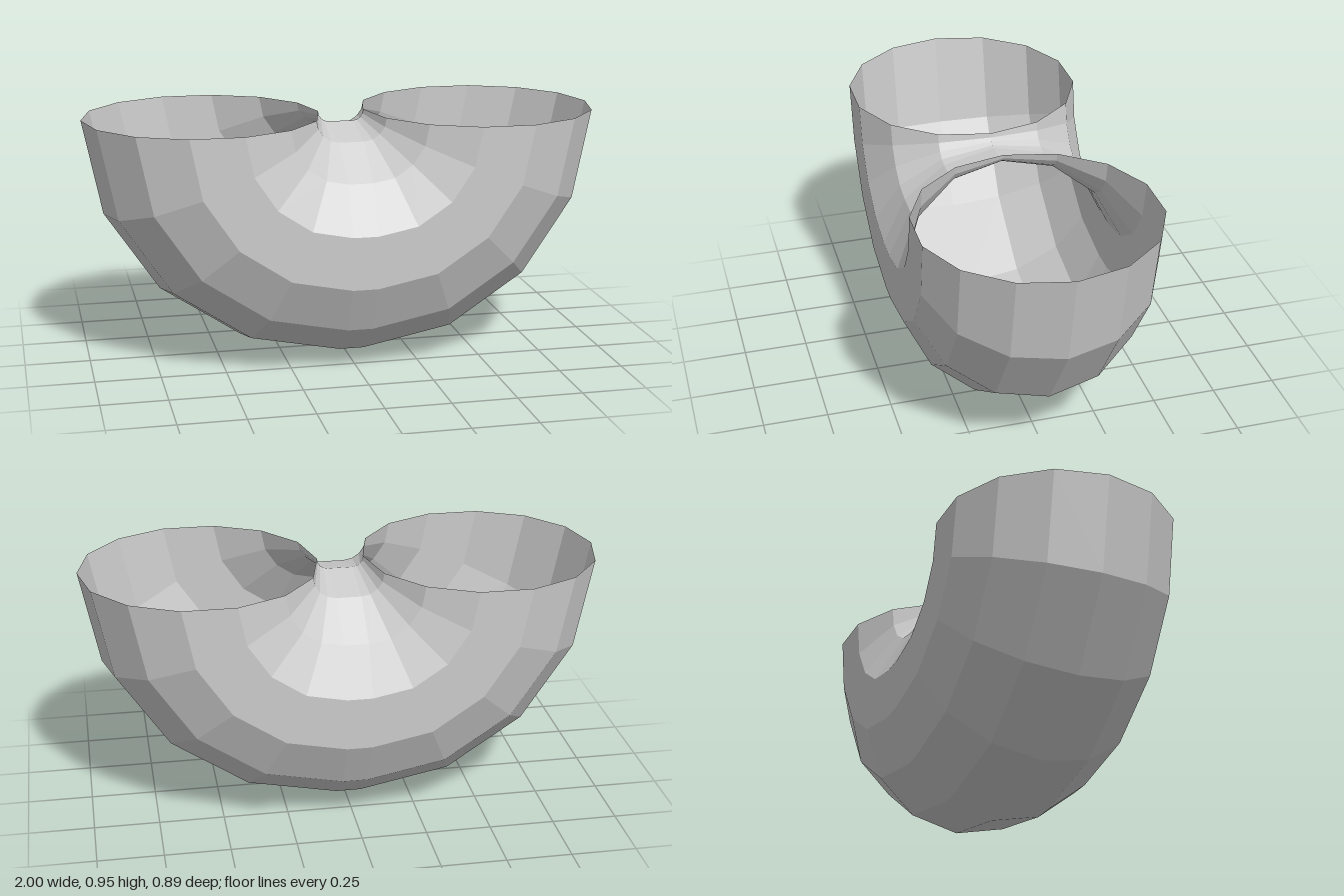
import * as THREE from 'three';

const SIDES = 14;        // facets round the tube
const STEPS = 4;         // segments in each quarter bend
const TUBE = 0.455;      // tube radius
const BEND = 0.497;      // radius of the bend's centre line
const SHIFT = 0.048;     // half length of the short straight piece
const TOP = TUBE + BEND; // height of the open ends

// Two quarter bends joined by a short straight piece, open at both ends
function bendGeometry() {
  const positions = [];
  const index = [];
  const rings = 2 * (STEPS + 1);
  for (let i = 0; i < rings; i++) {
    const first = i <= STEPS;
    const a = -((first ? i : i - 1) / STEPS) * Math.PI / 2;
    const cx = first ? SHIFT : -SHIFT;
    for (let j = 0; j < SIDES; j++) {
      const b = (j / SIDES) * Math.PI * 2;
      const rho = BEND + TUBE * Math.cos(b);
      positions.push(cx + rho * Math.cos(a), TOP + rho * Math.sin(a), TUBE * Math.sin(b));
    }
  }
  for (let i = 0; i < rings - 1; i++) {
    for (let j = 0; j < SIDES; j++) {
      const k = (j + 1) % SIDES;
      const p = i * SIDES + j, q = i * SIDES + k;
      index.push(p, q, p + SIDES, q, q + SIDES, p + SIDES);
    }
  }
  const geometry = new THREE.BufferGeometry();
  geometry.setAttribute('position', new THREE.Float32BufferAttribute(positions, 3));
  geometry.setIndex(index);
  const flat = geometry.toNonIndexed();
  flat.computeVertexNormals();
  return flat;
}

export function createModel() {
  const group = new THREE.Group();
  group.name = 'pipeBend';
  const material = new THREE.MeshStandardMaterial({
    color: 0xcccccc, flatShading: true, side: THREE.DoubleSide,
  });
  const pipe = new THREE.Mesh(bendGeometry(), material);
  pipe.name = 'uBendPipe';
  group.add(pipe);
  return group;
}
